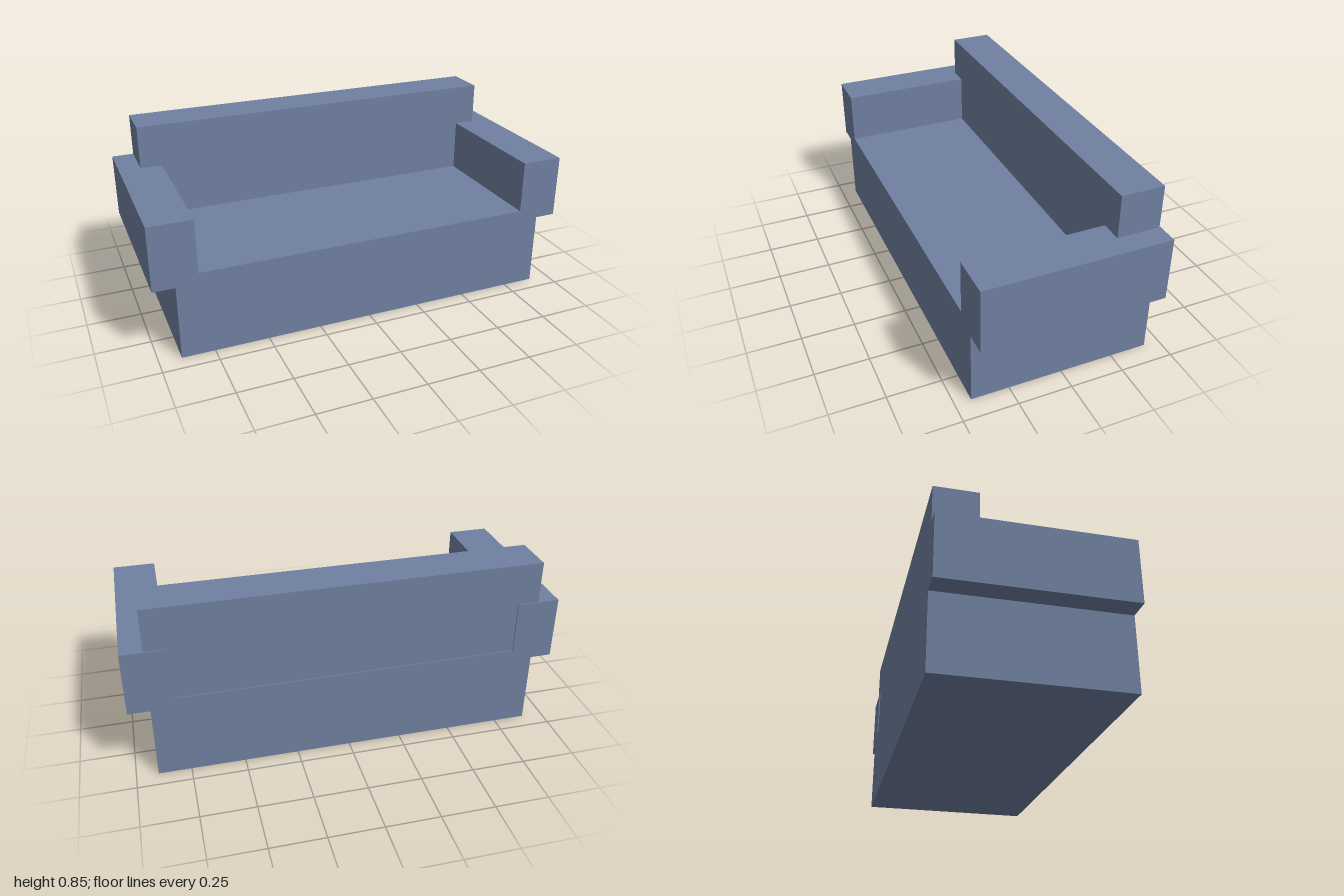
import * as THREE from 'three';

export function createModel() {
  const sofa = new THREE.Group();
  sofa.name = 'sofa';

  const fabric = new THREE.MeshStandardMaterial({ color: 0x6f80a0 });
  fabric.name = 'blue grey fabric';

  // Adds a block from its size and centre
  const block = (name, [w, h, d], [x, y, z]) => {
    const mesh = new THREE.Mesh(new THREE.BoxGeometry(w, h, d), fabric);
    mesh.name = name;
    mesh.position.set(x, y, z);
    sofa.add(mesh);
  };

  // Seat base down to the floor
  block('seatBase', [1.8, 0.4, 0.85], [0, 0.2, 0]);

  // Backrest, set in very slightly from the rear face
  block('backrest', [1.8, 0.45, 0.2], [0, 0.625, -0.32]);

  // Armrests overhang the base on both sides
  for (const [name, side] of [['leftArmrest', 1], ['rightArmrest', -1]]) {
    block(name, [0.2, 0.3, 0.85], [side * 0.9, 0.5, 0]);
  }

  return sofa;
}
